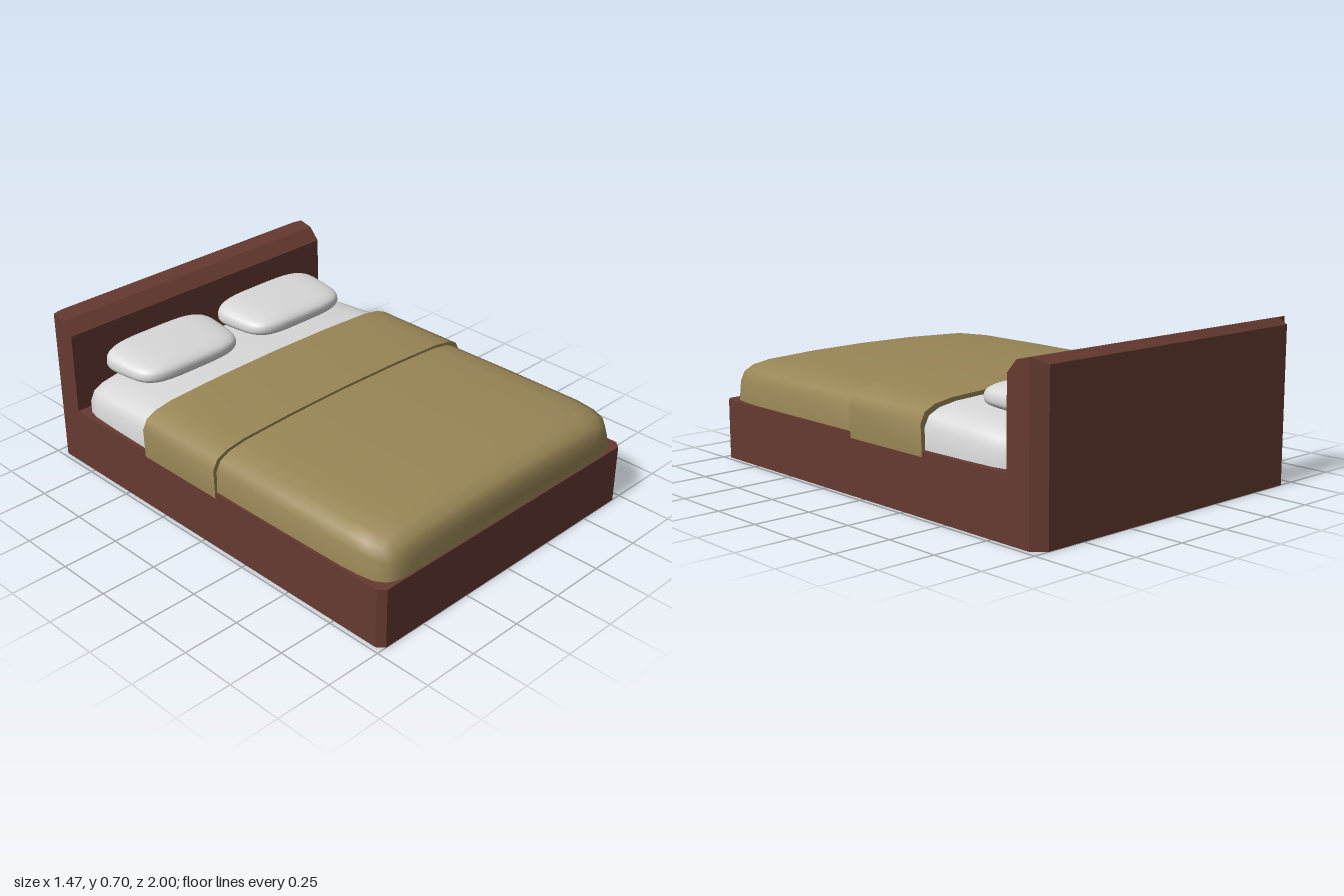
import * as THREE from 'three';
import { mergeVertices, toCreasedNormals } from 'three/addons/utils/BufferGeometryUtils.js';

const material = (name, color) => {
  const m = new THREE.MeshStandardMaterial({ color });
  m.name = name;
  return m;
};

// Skin a list of closed rings of [x, y, z] points and cap both ends.
function loft(rings, crease) {
  const n = rings[0].length, pos = [];
  const centre = (r) => [0, 1, 2].map((k) => r.reduce((s, p) => s + p[k], 0) / n);
  const first = rings[0], last = rings[rings.length - 1];
  const c0 = centre(first), c1 = centre(last);
  for (let j = 0; j < n; j++) {
    const k = (j + 1) % n;
    for (let i = 0; i < rings.length - 1; i++) {
      const a = rings[i][j], b = rings[i][k], c = rings[i + 1][k], d = rings[i + 1][j];
      pos.push(...a, ...b, ...c, ...a, ...c, ...d);
    }
    pos.push(...c0, ...first[k], ...first[j], ...c1, ...last[j], ...last[k]);
  }
  const g = new THREE.BufferGeometry();
  g.setAttribute('position', new THREE.Float32BufferAttribute(pos, 3));
  return toCreasedNormals(g, crease);
}

// Crowned bedding cross-section: half width w, top height, lower edge flare.
const SHOULDER = [[1, -0.095], [0.97, -0.053], [0.9, -0.029], [0.78, -0.015], [0.42, -0.004]];
function beddingRing([z, w, top, flare = 0]) {
  const right = SHOULDER.map(([u, dy]) => [u * w, top + dy, z]);
  const left = right.map(([x, y]) => [-x, y, z]).reverse();
  return [[-w - flare, 0.24, z], [w + flare, 0.24, z], ...right, [0, top, z], ...left];
}
const bedding = (sections) => loft(sections.map(beddingRing), 0.8);

// Plump cushion, wider and thicker towards the headboard.
function pillowGeometry() {
  const g = new THREE.SphereGeometry(1, 40, 24);
  g.deleteAttribute('uv');
  g.deleteAttribute('normal');
  const p = g.attributes.position;
  const soft = (v, e) => (Math.abs(v) < 1e-6 ? 0 : Math.sign(v) * Math.abs(v) ** e);
  for (let i = 0; i < p.count; i++) {
    const y = p.getY(i), r = Math.sqrt(Math.max(0, 1 - y * y)) || 1e-6;
    const spread = soft(r, 0.45);
    const x = soft(p.getX(i) / r, 0.5) * spread;
    const z = soft(p.getZ(i) / r, 0.5) * spread;
    p.setXYZ(i,
      x * (0.285 - 0.02 * z - 0.012 * y),
      soft(y, 0.75) * (0.055 - 0.01 * z) - 0.004 * z,
      z * 0.172);
  }
  const merged = mergeVertices(g, 1e-4);
  merged.computeVertexNormals();
  return merged;
}

export function createModel() {
  const wood = material('dark red wood', 0x663a31);
  const cloth = material('olive cloth', 0x998656);
  const linen = material('white linen', 0xd8d8d8);

  const model = new THREE.Group();
  model.name = 'doubleBed';
  const add = (name, geometry, mat, x = 0, y = 0, z = 0) => {
    const mesh = new THREE.Mesh(geometry, mat);
    mesh.name = name;
    mesh.position.set(x, y, z);
    model.add(mesh);
    return mesh;
  };

  // Box base with chamfered foot corners
  const plan = new THREE.Shape([
    [-0.73, 0.835], [-0.73, -0.97], [-0.703, -1], [0.703, -1], [0.73, -0.97], [0.73, 0.835],
  ].map(([x, y]) => new THREE.Vector2(x, y)));
  const base = new THREE.ExtrudeGeometry(plan, { depth: 0.265, bevelEnabled: false });
  base.rotateX(-Math.PI / 2);
  add('bedBase', base, wood);

  // Headboard: rounded top profile (y, z), back corners cut away at the ends
  const profile = [[0, -1], [0.675, -1], [0.7, -0.96], [0.685, -0.885], [0.63, -0.835], [0, -0.835]];
  const boardRings = [[-0.73, -0.95], [-0.68, -1], [0.68, -1], [0.73, -0.95]]
    .map(([x, back]) => profile.map(([y, z]) => [x, y, Math.max(z, back)]));
  add('headboard', loft(boardRings, 0.6), wood);

  // Mattress, rounded at the head end
  add('mattress', bedding([
    [-0.832, 0.6, 0.36], [-0.82, 0.65, 0.395], [-0.79, 0.69, 0.415], [-0.74, 0.703, 0.424],
    [-0.6, 0.71, 0.434], [-0.36, 0.715, 0.45], [0, 0.715, 0.45],
  ]), linen);

  // Blanket, rounded at the foot end
  add('blanket', bedding([
    [0, 0.718, 0.455, 0.004], [0.4, 0.718, 0.458, 0.004], [0.78, 0.716, 0.458, 0.004],
    [0.87, 0.707, 0.454, 0.006], [0.93, 0.69, 0.445, 0.012], [0.97, 0.655, 0.425, 0.02],
    [0.985, 0.62, 0.4, 0.03], [0.993, 0.58, 0.365, 0.04],
  ]), cloth);

  // Folded-back band over the blanket
  add('blanketFold', bedding([[-0.365, 0.735, 0.467, -0.004], [0.08, 0.735, 0.467, -0.004]]), cloth);

  // Pair of pillows
  const pillow = pillowGeometry();
  for (const [name, side] of [['leftPillow', 1], ['rightPillow', -1]]) {
    add(name, pillow, linen, side * 0.318, 0.486, -0.66);
  }
  return model;
}
